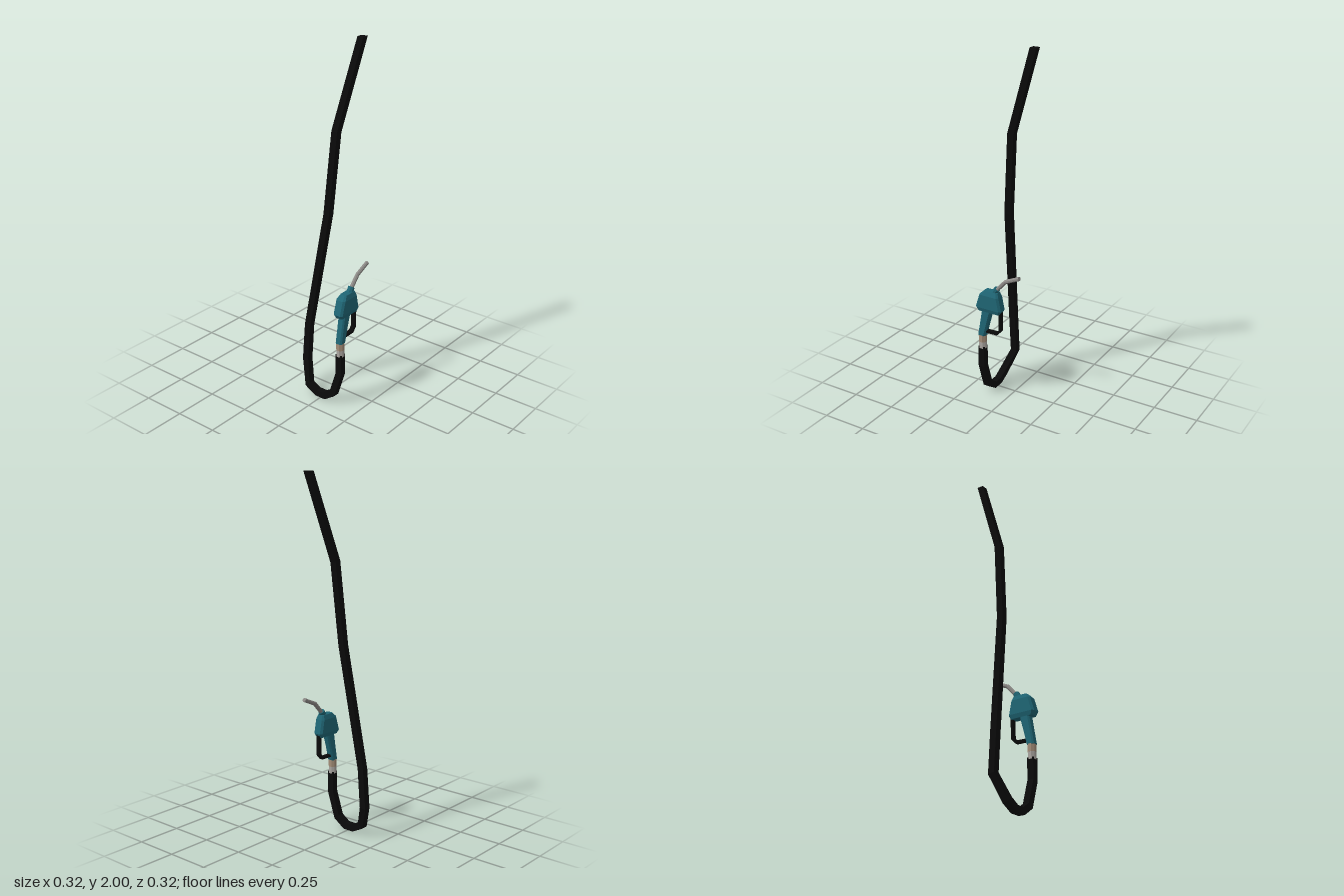
import * as THREE from 'three';

const mat = (name, color) => {
  const m = new THREE.MeshStandardMaterial({ color, flatShading: true });
  m.name = name;
  return m;
};

// Skin a list of closed rings (counter-clockwise about the direction of travel), capped at both ends
function loft(rings) {
  const pos = [];
  const tri = (...pts) => pts.forEach(p => pos.push(p.x, p.y, p.z));
  const n = rings[0].length;
  for (let i = 0; i < rings.length - 1; i++) {
    const a = rings[i], b = rings[i + 1];
    for (let j = 0; j < n; j++) {
      const k = (j + 1) % n;
      tri(a[j], a[k], b[k]);
      tri(a[j], b[k], b[j]);
    }
  }
  const first = rings[0], last = rings[rings.length - 1];
  for (let j = 1; j < n - 1; j++) {
    tri(first[0], first[j + 1], first[j]);
    tri(last[0], last[j], last[j + 1]);
  }
  const g = new THREE.BufferGeometry();
  g.setAttribute('position', new THREE.Float32BufferAttribute(pos, 3));
  g.computeVertexNormals();
  return g;
}

// Sweep a polygon along straight segments with mitred corners
function sweep(path, profile, hint, startDir) {
  const pts = path.map(p => new THREE.Vector3(...p));
  const dir = i => pts[i + 1].clone().sub(pts[i]).normalize();
  const end = pts.length - 1;
  return loft(pts.map((p, i) => {
    const before = dir(Math.max(i - 1, 0)), after = dir(Math.min(i, end - 1));
    let t = before.clone().add(after).normalize();
    const mitre = 1 / t.dot(after);
    if (i === 0 && startDir) t = startDir;
    const b = hint.clone().addScaledVector(t, -hint.dot(t)).normalize();
    const n = t.clone().cross(b);
    return profile.map(([u, v]) => p.clone().addScaledVector(b, u).addScaledVector(n, v * mitre));
  }));
}

const rect = (u, v) => [[u, -v], [u, v], [-u, v], [-u, -v]];
const polygon = (r, sides) => Array.from({ length: sides }, (_, i) => {
  const a = ((i + 0.5) / sides) * Math.PI * 2;
  return [r * Math.cos(a), r * Math.sin(a)];
});

// Horizontal chamfered ring
const bodyRing = ([y, z0, z1, w, c]) => [
  [w - c, z1], [w, z1 - c], [w, z0 + c], [w - c, z0],
  [c - w, z0], [-w, z0 + c], [-w, z1 - c], [c - w, z1],
].map(([x, z]) => new THREE.Vector3(x, y, z));

export function createModel() {
  const model = new THREE.Group();
  model.name = 'fuelNozzleWithHose';
  const black = mat('black rubber', 0x0a0a0a);
  const teal = mat('teal plastic', 0x1f6675);
  const tan = mat('tan collar', 0xa38d78);
  const pale = mat('pale metal', 0xaaa5a0);
  const steel = mat('steel', 0x8c8986);
  const X = new THREE.Vector3(1, 0, 0), Z = new THREE.Vector3(0, 0, 1);

  const add = (parent, name, geometry, material) => {
    const m = new THREE.Mesh(geometry, material);
    m.name = name;
    parent.add(m);
    return m;
  };

  // Square hose hanging in a loop
  add(model, 'hose', sweep([
    [0.052, 2, -0.143], [0.008, 1.53, 0.013], [-0.018, 1.08, 0.048],
    [-0.125, 0.4, 0.085], [-0.142, 0.18, 0.085], [-0.09, 0.052, 0.13],
    [-0.03, 0.0205, 0.13], [0.025, 0.0205, 0.13], [0.083, 0.06, 0.13],
    [0.128, 0.2, 0.13], [0.128, 0.32, 0.13],
  ], rect(0.0185, 0.0185), Z, new THREE.Vector3(0, -1, 0)), black);

  const nozzle = new THREE.Group();
  nozzle.name = 'nozzle';
  nozzle.position.x = 0.128;
  model.add(nozzle);

  // Collars between hose and grip
  const collar = (name, y0, y1, r, material) => {
    const g = new THREE.CylinderGeometry(r, r, y1 - y0, 8);
    g.rotateY(Math.PI / 8).translate(0, (y0 + y1) / 2, 0.13);
    add(nozzle, name, g, material);
  };
  collar('lowerCollar', 0.31, 0.35, 0.0225, pale);
  collar('upperCollar', 0.35, 0.392, 0.0235, tan);

  // Grip and head: y, back z, front z, half width, chamfer
  add(nozzle, 'grip', loft([
    [0.39, 0.108, 0.152, 0.021, 0.008],
    [0.47, 0.088, 0.138, 0.021, 0.008],
    [0.55, 0.066, 0.124, 0.022, 0.008],
  ].map(bodyRing)), teal);
  add(nozzle, 'head', loft([
    [0.545, 0.012, 0.148, 0.023, 0.008],
    [0.567, 0, 0.16, 0.03, 0.011],
    [0.645, 0.016, 0.136, 0.03, 0.011],
    [0.67, 0.026, 0.11, 0.02, 0.008],
  ].map(bodyRing)), teal);
  add(nozzle, 'spoutNeck', sweep([[0, 0.655, 0.058], [0, 0.69, 0.034]], polygon(0.018, 8), X), teal);

  // Bent spout
  add(nozzle, 'spout', sweep([
    [0, 0.675, 0.044], [0, 0.744, -0.018], [0, 0.783, -0.104],
  ], polygon(0.0115, 8), X), steel);

  // Guard below the head
  add(nozzle, 'triggerGuard', sweep([
    [0, 0.56, 0.013], [0, 0.445, 0.014], [0, 0.421, 0.035], [0, 0.419, 0.115],
  ], rect(0.012, 0.007), X), black);

  return model;
}
